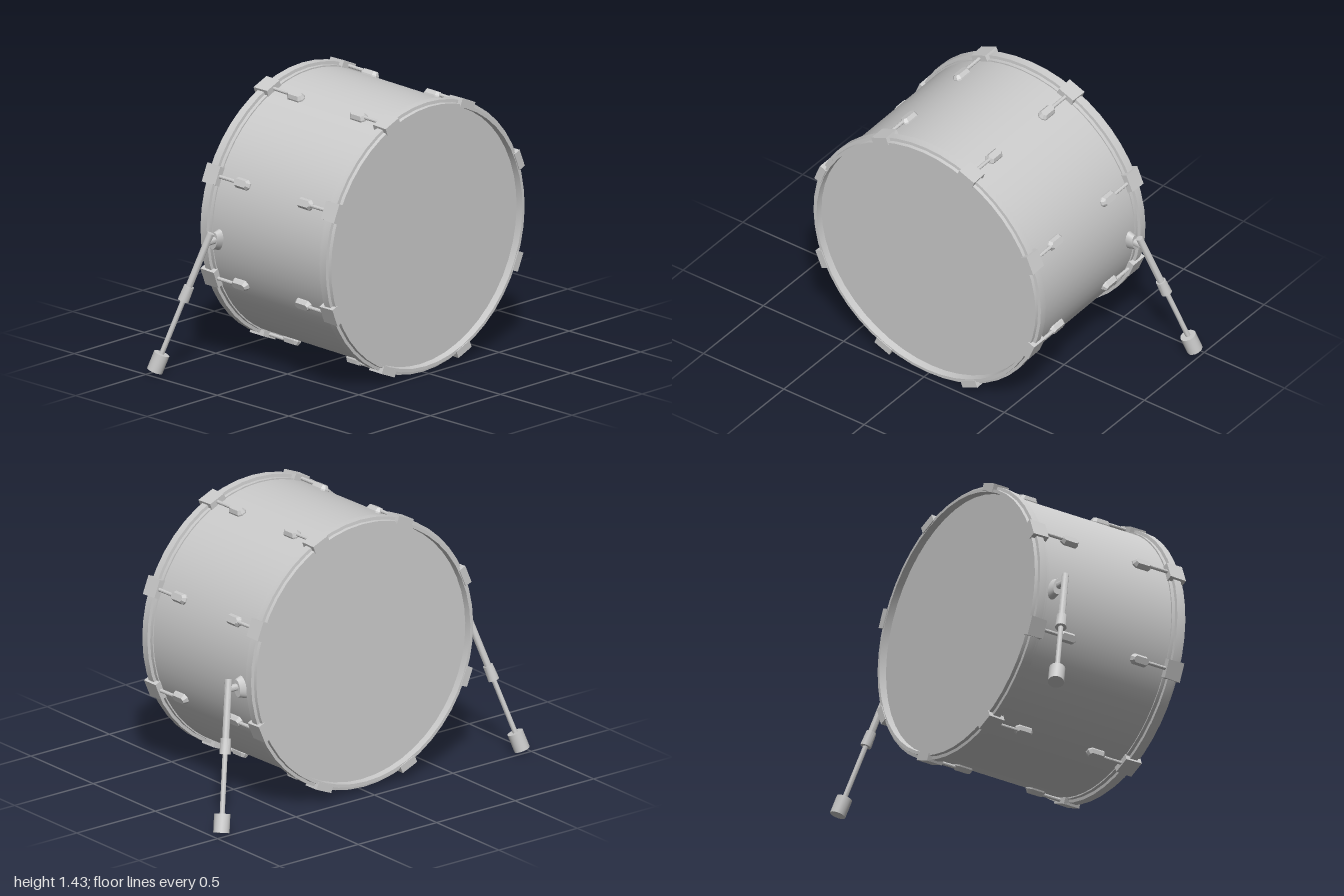
import * as THREE from 'three';
import { toCreasedNormals } from 'three/addons/utils/BufferGeometryUtils.js';

const material = new THREE.MeshStandardMaterial({ color: 0xcccccc });

function part(name, geometry, parent) {
  const mesh = new THREE.Mesh(geometry, material);
  mesh.name = name;
  parent.add(mesh);
  return mesh;
}

// Lathe whose axis runs along z
function ringGeometry(points) {
  const lathe = new THREE.LatheGeometry(points.map(([r, z]) => new THREE.Vector2(r, z)), 48);
  return toCreasedNormals(lathe.rotateX(Math.PI / 2), 0.5);
}

// Cylinder between two points
function rod(name, from, to, r0, r1, parent, sides = 16) {
  const axis = to.clone().sub(from);
  const geometry = toCreasedNormals(new THREE.CylinderGeometry(r1, r0, axis.length(), sides), 0.6);
  const mesh = part(name, geometry, parent);
  mesh.position.copy(from).add(to).multiplyScalar(0.5);
  mesh.quaternion.setFromUnitVectors(new THREE.Vector3(0, 1, 0), axis.normalize());
  return mesh;
}

// Lug: an elongated octagon tapering outwards, long side along z, rising along y
function lugGeometry() {
  const w = 0.017, c = 0.01, l = 0.042;
  const shape = new THREE.Shape([
    [w, -l + c], [w, l - c], [w - c, l], [-w + c, l],
    [-w, l - c], [-w, -l + c], [-w + c, -l], [w - c, -l],
  ].map(([x, y]) => new THREE.Vector2(x, y)));
  const geometry = new THREE.ExtrudeGeometry(shape, {
    depth: 0.014, bevelEnabled: true, bevelThickness: 0.02, bevelSize: 0.01, bevelSegments: 1,
  });
  return geometry.rotateX(-Math.PI / 2);
}

// Claw: a block whose inner end narrows a little
function clawGeometry() {
  const geometry = new THREE.BoxGeometry(0.1, 0.04, 0.092).toNonIndexed();
  const p = geometry.attributes.position;
  for (let i = 0; i < p.count; i++) {
    if (p.getZ(i) < 0 && p.getY(i) > 0) p.setX(i, p.getX(i) * 0.94);
  }
  geometry.computeVertexNormals();
  return geometry;
}

// One end of the drum, facing +z: hoop, recessed head and eight tension sets
function createEnd(name) {
  const end = new THREE.Group();
  end.name = name;
  part('hoop', ringGeometry([
    [0.672, 0.375], [0.692, 0.375], [0.692, 0.394], [0.708, 0.396], [0.708, 0.437],
    [0.692, 0.439], [0.69, 0.457], [0.674, 0.457], [0.672, 0.41],
  ]), end);
  part('head', new THREE.CircleGeometry(0.675, 48), end).position.z = 0.418;

  const claw = clawGeometry();
  const lug = lugGeometry();
  for (let i = 0; i < 8; i++) {
    const set = new THREE.Group();
    set.name = 'tensionSet';
    set.rotation.z = (i + 0.5) * Math.PI / 4;
    part('claw', claw, set).position.set(0, 0.697, 0.416);
    part('lug', lug, set).position.set(0, 0.678, 0.22);
    rod('tensionRod', new THREE.Vector3(0, 0.699, 0.22), new THREE.Vector3(0, 0.699, 0.4), 0.0095, 0.0095, set, 10);
    end.add(set);
  }
  return end;
}

// Splayed leg with its bracket; side is +1 for left, -1 for right
function createLeg(side) {
  const leg = new THREE.Group();
  leg.name = side > 0 ? 'leftLeg' : 'rightLeg';
  const v = (x, y, z) => new THREE.Vector3(side * x, y, z);

  // Oval bracket on the shell, tilted with the leg, and the pivot
  const bracket = rod('bracket', v(0.665, 0.68, -0.302), v(0.72, 0.68, -0.302), 0.064, 0.046, leg, 20);
  bracket.scale.z = 0.56;
  bracket.rotateOnWorldAxis(new THREE.Vector3(1, 0, 0), 0.27);
  rod('pivot', v(0.71, 0.685, -0.297), v(0.768, 0.685, -0.295), 0.018, 0.018, leg);

  const top = v(0.758, 0.733, -0.283);
  const base = v(0.958, 0.016, -0.478);
  const at = t => top.clone().lerp(base, t);
  rod('upperTube', at(0), at(0.45), 0.018, 0.018, leg);
  rod('collar', at(0.385), at(0.49), 0.026, 0.029, leg);
  rod('lowerTube', at(0.45), at(0.95), 0.013, 0.013, leg);
  rod('foot', at(0.875), at(1), 0.041, 0.041, leg, 20);
  return leg;
}

export function createModel() {
  const model = new THREE.Group();
  model.name = 'bassDrum';

  // Drum body, leaning slightly forward
  const drum = new THREE.Group();
  drum.name = 'drum';
  drum.position.set(0, 0.719, 0.036);
  drum.rotation.x = 0.021;
  const shell = new THREE.CylinderGeometry(0.685, 0.685, 0.82, 64, 1, true).rotateX(Math.PI / 2);
  part('shell', shell, drum);
  const back = createEnd('backEnd');
  back.rotation.y = Math.PI;
  drum.add(createEnd('frontEnd'), back);

  model.add(drum, createLeg(1), createLeg(-1));
  return model;
}
